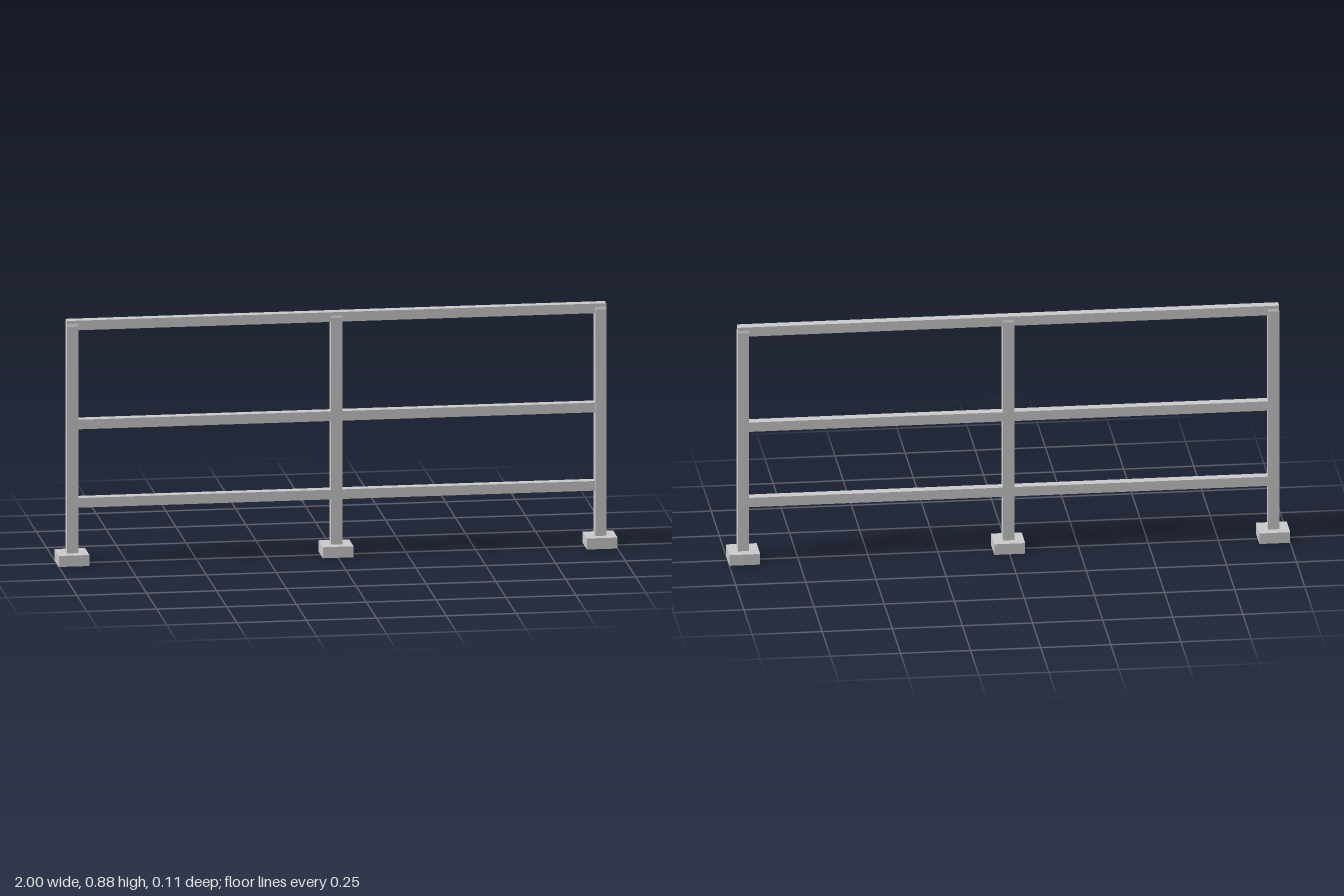
import * as THREE from 'three';

const POST_X = [-0.945, 0, 0.945];
const POST = 0.04;   // post thickness
const RAIL = 0.035;  // rail thickness
const BASE_H = 0.04;
const HEIGHT = 0.885;

export function createModel() {
  const group = new THREE.Group();
  const material = new THREE.MeshStandardMaterial({ color: 0xcccccc, flatShading: true });

  const add = (name, geometry, x, y, z = 0) => {
    const mesh = new THREE.Mesh(geometry, material);
    mesh.name = name;
    mesh.position.set(x, y, z);
    group.add(mesh);
  };

  // Post side profile: straight, with a small bevel up to the top rail
  const h = POST / 2, r = RAIL / 2;
  const profile = new THREE.Shape([
    [-h, BASE_H], [h, BASE_H], [h, 0.864], [r, 0.873], [-r, 0.873], [-h, 0.864],
  ].map(([z, y]) => new THREE.Vector2(z, y)));
  const postGeometry = new THREE.ExtrudeGeometry(profile, { depth: POST, bevelEnabled: false });
  postGeometry.translate(0, 0, -h).rotateY(Math.PI / 2);

  // Posts on square feet
  const footGeometry = new THREE.BoxGeometry(0.11, BASE_H, 0.11);
  for (const x of POST_X) {
    add('foot', footGeometry, x, BASE_H / 2);
    add('post', postGeometry, x, 0);
  }

  // Top rail runs over all the posts
  add('topRail', new THREE.BoxGeometry(1.93, RAIL, RAIL), 0, HEIGHT - r);

  // Middle and lower rails fit between the posts
  const span = 0.945 - POST;
  const railGeometry = new THREE.BoxGeometry(span, RAIL, RAIL);
  for (const [name, y] of [['middleRail', 0.507], ['lowerRail', 0.222]]) {
    for (const side of [-1, 1]) add(name, railGeometry, side * 0.945 / 2, y);
  }

  return group;
}
